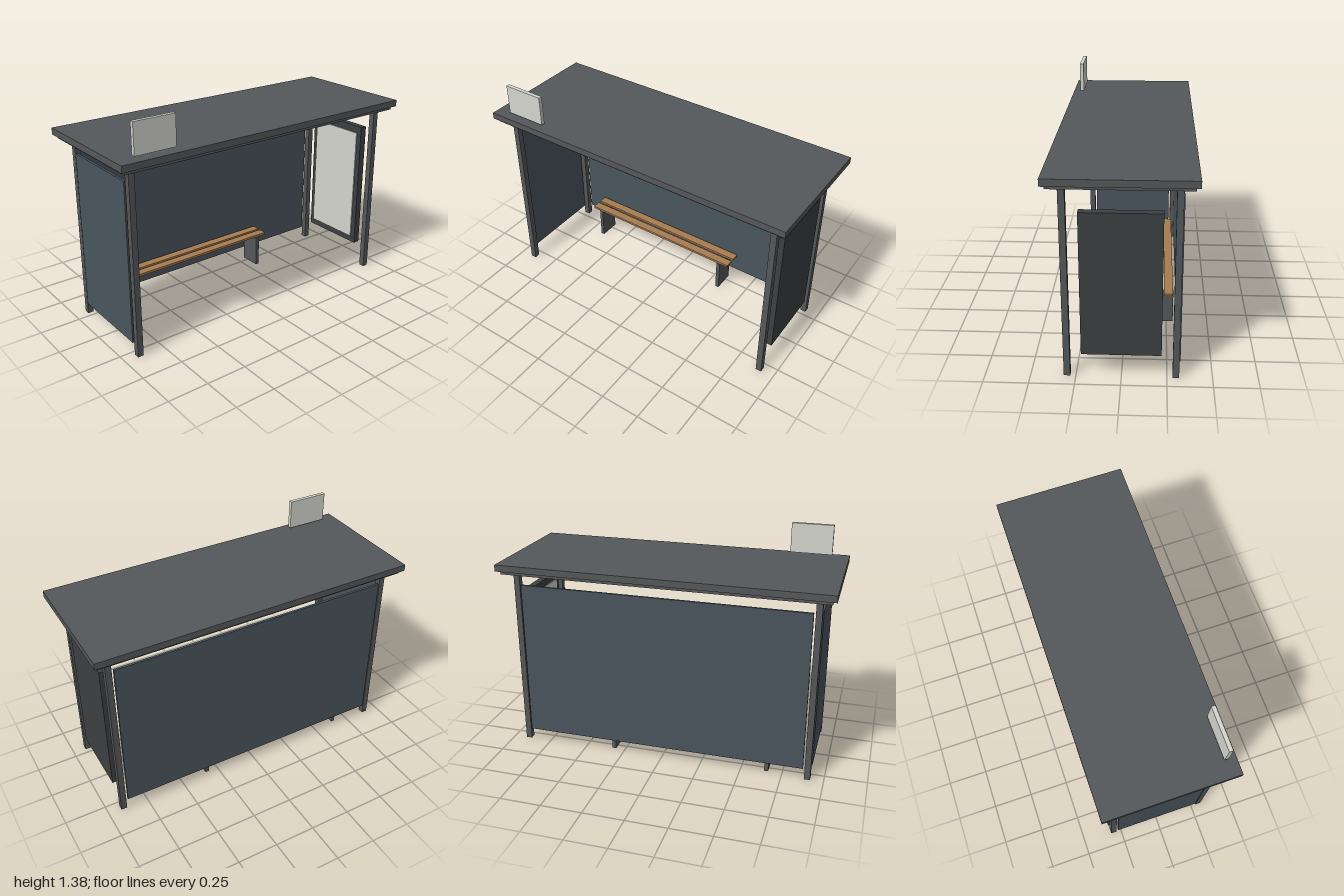
import * as THREE from 'three';

export function createModel() {
  const group = new THREE.Group();
  const paint = (color) => new THREE.MeshStandardMaterial({ color });
  const frame = paint(0x55585a);
  const glass = paint(0x4a555e);
  const dark = paint(0x3d4042);
  const wood = paint(0xa87d52);
  const light = paint(0xd6d6d0);

  // Box given by its extents along x, y and z
  function box(name, material, [x0, x1], [y0, y1], [z0, z1]) {
    const mesh = new THREE.Mesh(new THREE.BoxGeometry(x1 - x0, y1 - y0, z1 - z0), material);
    mesh.position.set((x0 + x1) / 2, (y0 + y1) / 2, (z0 + z1) / 2);
    mesh.name = name;
    group.add(mesh);
  }

  // Roof slab with a slightly smaller frame below it
  box('roof', frame, [-1, 1], [1.146, 1.186], [-0.396, 0.396]);
  box('roofFrame', frame, [-0.976, 0.976], [1.124, 1.146], [-0.374, 0.374]);

  // Four corner posts
  for (const x of [-0.903, 0.903]) {
    for (const z of [-0.299, 0.299]) {
      box('post', frame, [x - 0.018, x + 0.018], [0, 1.124], [z - 0.018, z + 0.018]);
    }
  }

  // Glazing: back wall and one end wall
  box('backPanel', glass, [-0.875, 0.875], [0.074, 1.049], [-0.324, -0.309]);
  box('sidePanel', glass, [-0.925, -0.91], [0.074, 1.049], [-0.271, 0.271]);

  // Display case closing the other end, with a pale poster facing inwards
  box('displayCase', dark, [0.882, 0.926], [0.143, 0.98], [-0.219, 0.219]);
  box('poster', light, [0.876, 0.882], [0.188, 0.934], [-0.185, 0.185]);

  // Bench: two wooden slats on two slab legs
  for (const z of [-0.186, -0.26]) {
    box('benchSlat', wood, [-0.722, 0.39], [0.207, 0.222], [z - 0.027, z + 0.027]);
  }
  for (const x of [-0.654, 0.322]) {
    box('benchLeg', frame, [x - 0.012, x + 0.012], [0, 0.207], [-0.29, -0.156]);
  }

  // Sign plate standing just above the front edge of the roof
  box('roofSign', light, [-0.898, -0.643], [1.2, 1.383], [0.325, 0.349]);

  return group;
}
